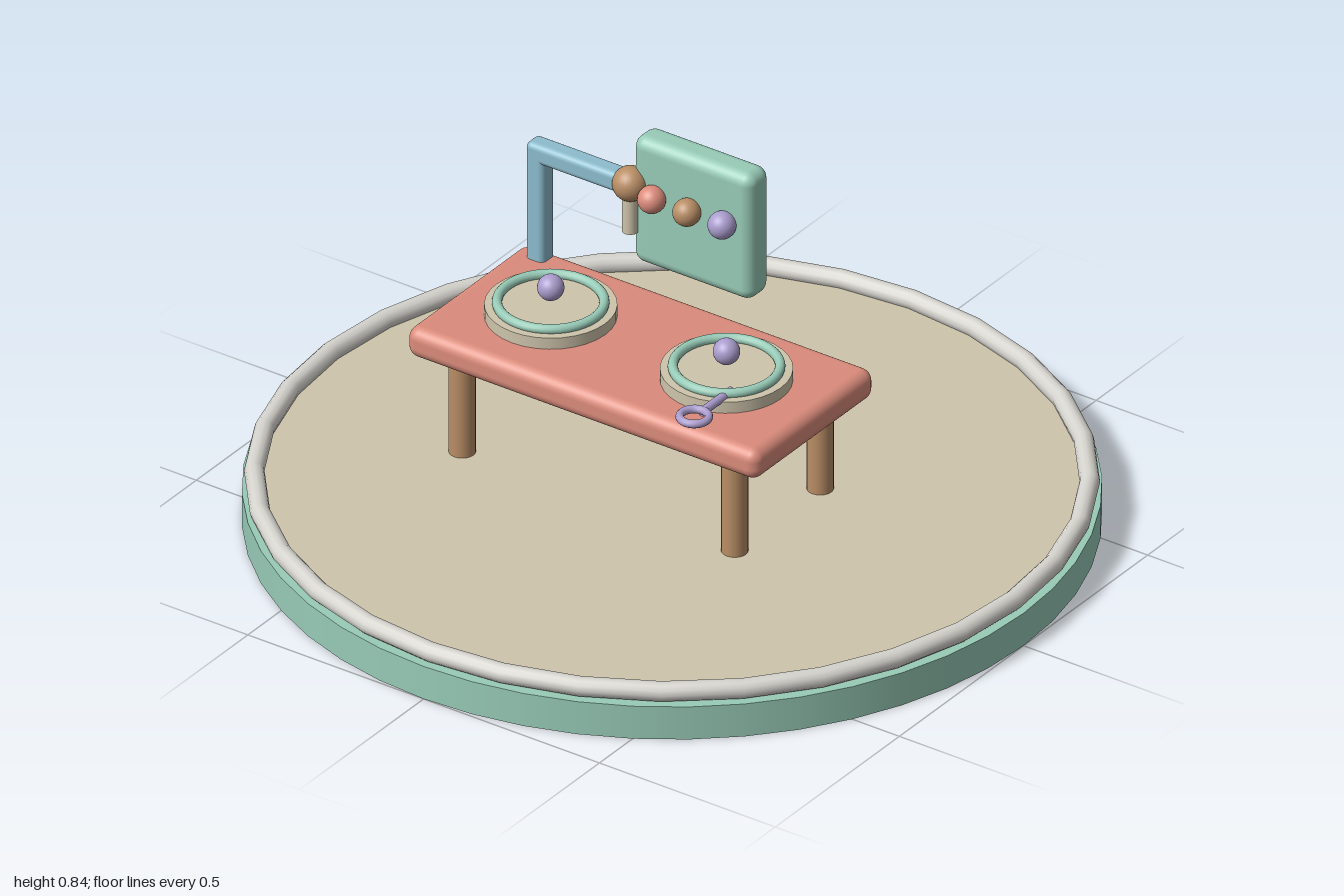
import * as THREE from 'three';
import { RoundedBoxGeometry } from 'three/addons/geometries/RoundedBoxGeometry.js';

const material = (name, color) => {
  const m = new THREE.MeshStandardMaterial({ color });
  m.name = name;
  return m;
};

export function createModel() {
  const mint = material('mint', 0x98cbb7);
  const coral = material('coral', 0xdb8c7c);
  const wood = material('wood', 0xb98e66);
  const sand = material('sand', 0xcfc5ac);
  const silver = material('silver', 0xd6d4ce);
  const lavender = material('lavender', 0xab9dce);
  const sky = material('sky', 0x8dbccd);

  const model = new THREE.Group();
  model.name = 'workTableOnBase';

  const add = (name, geometry, mat, x, y, z, parent = model) => {
    const mesh = new THREE.Mesh(geometry, mat);
    mesh.name = name;
    mesh.position.set(x, y, z);
    parent.add(mesh);
    return mesh;
  };
  const box = (w, h, d, r) => new RoundedBoxGeometry(w, h, d, 4, r);
  const disc = (r, h, sides = 32) => new THREE.CylinderGeometry(r, r, h, sides);
  const ball = (r) => new THREE.SphereGeometry(r, 24, 16);
  const ring = (r, tube, sides = 40) =>
    new THREE.TorusGeometry(r, tube, 12, sides).rotateX(Math.PI / 2);

  // Round base with floor and raised rim
  add('base', disc(1, 0.088, 48), mint, 0, 0.044, 0);
  add('floor', disc(0.97, 0.02, 48), sand, 0, 0.09, 0);
  add('rim', ring(0.971, 0.024, 32), silver, 0, 0.113, 0);

  // Table
  add('tableTop', box(1, 0.08, 0.485, 0.03), coral, -0.09, 0.39, 0);
  for (const x of [-0.475, 0.3]) {
    for (const z of [-0.172, 0.172]) {
      add('tableLeg', disc(0.032, 0.27, 20), wood, x, 0.23, z);
    }
  }

  // Two round plates, each with an inlaid ring and a centre ball
  for (const x of [-0.345, 0.155]) {
    const plate = new THREE.Group();
    plate.name = 'plate';
    plate.position.set(x, 0.43, 0);
    model.add(plate);
    add('plateDisc', disc(0.155, 0.032), sand, 0, 0.014, 0, plate);
    add('plateRing', ring(0.125, 0.012), mint, 0, 0.036, 0, plate);
    add('plateBall', ball(0.032), lavender, 0, 0.075, 0, plate);
  }

  // Looped handle at the right-hand plate
  add('handleLoop', ring(0.034, 0.01, 24), lavender, 0.225, 0.465, 0.229);
  add('handleStem', disc(0.011, 0.12, 12).rotateX(Math.PI / 2), lavender, 0.225, 0.462, 0.14);

  // Bent arm with joint and hanging nozzle
  add('armPost', box(0.052, 0.33, 0.052, 0.015), sky, -0.519, 0.578, -0.203);
  add('armBeam', box(0.29, 0.052, 0.052, 0.015), sky, -0.4, 0.717, -0.203);
  add('armJoint', ball(0.043), wood, -0.26, 0.718, -0.2);
  add('nozzle', disc(0.02, 0.12, 16), sand, -0.26, 0.65, -0.2);

  // Upright panel with a row of beads
  add('panel', box(0.34, 0.34, 0.084, 0.03), mint, -0.09, 0.674, -0.245);
  [coral, wood, lavender].forEach((mat, i) =>
    add('panelBead', ball(0.034), mat, -0.19 + i * 0.1, 0.705, -0.187));

  return model;
}
